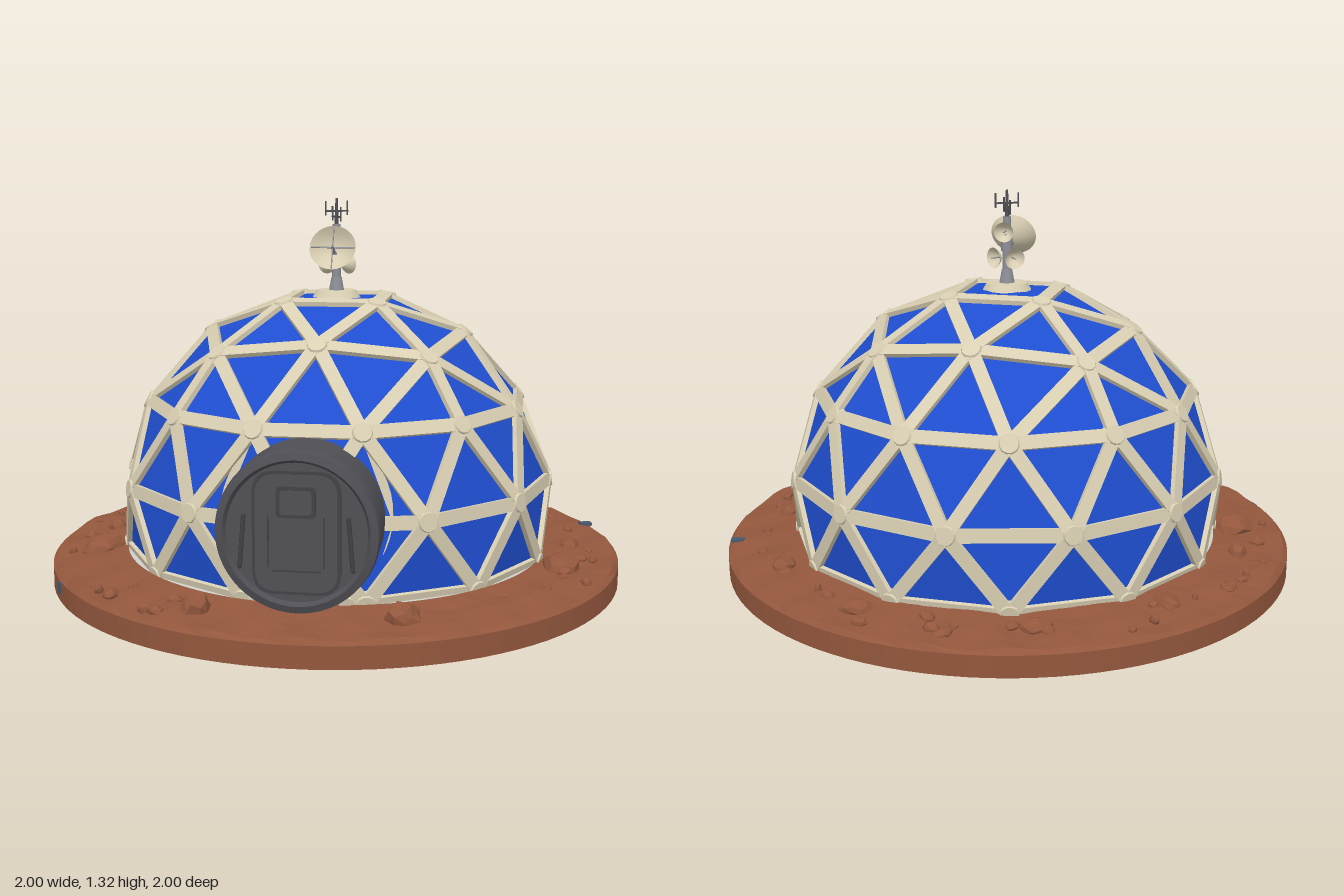
import * as THREE from 'three';

const mat = (name, color, opts = {}) => {
  const m = new THREE.MeshStandardMaterial({ color, ...opts });
  m.name = name;
  return m;
};

export function createModel() {
  const root = new THREE.Group();
  root.name = 'domeHabitat';
  const blue = mat('panel blue', 0x1f4ed0, { flatShading: true });
  const cream = mat('strut cream', 0xd9cfb3, { side: THREE.DoubleSide });
  const soil = mat('red soil', 0x93573d, { flatShading: true, side: THREE.DoubleSide });
  const dark = mat('airlock dark grey', 0x4f4f55);
  const darker = mat('door recess grey', 0x424247);
  const concrete = mat('floor grey', 0xcfcecb);
  const metal = mat('mast grey', 0x8f8f99);
  const slate = mat('slate marker', 0x4a5a70);

  const add = (parent, name, geo, material, x = 0, y = 0, z = 0, rx = 0, ry = 0, rz = 0) => {
    const m = new THREE.Mesh(geo, material);
    m.name = name;
    m.position.set(x, y, z);
    m.rotation.set(rx, ry, rz);
    parent.add(m);
    return m;
  };
  const group = (name, parent = root) => {
    const g = new THREE.Group();
    g.name = name;
    parent.add(g);
    return g;
  };
  let seed = 7;
  const rnd = () => (seed = (seed * 16807) % 2147483647) / 2147483647;

  // Ground: hollow soil apron with a slightly uneven top
  const ground = group('ground');
  const profile = [[1, 0], [1, 0.072], [0.985, 0.085], [0.93, 0.088], [0.87, 0.092], [0.81, 0.096], [0.74, 0.105]]
    .map(p => new THREE.Vector2(...p));
  const apron = new THREE.LatheGeometry(profile, 96);
  const ap = apron.attributes.position;
  for (let i = 0; i < ap.count; i++) {
    const x = ap.getX(i), z = ap.getZ(i), r = Math.hypot(x, z);
    if (r < 0.99 && r > 0.75) ap.setY(i, ap.getY(i) + 0.009 * Math.sin(x * 23 + 1) * Math.cos(z * 19));
  }
  apron.computeVertexNormals();
  add(ground, 'soilApron', apron, soil);
  add(ground, 'floorSlab', new THREE.CylinderGeometry(0.75, 0.75, 0.02, 64), concrete, 0, 0.088, -0.015);
  // Small slate markers on the rim: one through the wall, one on top
  add(ground, 'wallMarker', new THREE.BoxGeometry(0.035, 0.04, 0.012), slate, -0.847, 0.05, 0.53, 0, -1.01, 0);
  add(ground, 'topMarker', new THREE.BoxGeometry(0.045, 0.012, 0.025), slate, 0.9, 0.092, -0.36, 0, 0.3, 0);

  // Rocks: x, z, radius, height
  const rock = (x, z, r, h) => {
    const g = new THREE.IcosahedronGeometry(1, 1), p = g.attributes.position;
    for (let i = 0; i < p.count; i++) {
      const a = p.getX(i), b = p.getY(i), c = p.getZ(i);
      const k = 1 + 0.13 * Math.sin(a * 5 + x * 9) * Math.cos(c * 4 + b * 3 + z * 7);
      p.setXYZ(i, a * k, b * k, c * k);
    }
    const m = add(ground, 'rock', g, soil, x, 0.092, z, 0, rnd() * 6, 0);
    m.scale.set(r, h, r * 0.75);
  };
  for (const s of [-1, 1]) {
    rock(s * 0.29, -0.8, 0.055, 0.03);
    rock(s * 0.65, -0.53, 0.055, 0.03);
    rock(s * 0.83, -0.05, 0.045, 0.035);
    rock(s * 0.8, 0.2, 0.085, 0.05);
    rock(s * 0.32, 0.79, 0.055, 0.055);
  }
  for (let i = 0; i < 44; i++) {
    const a = rnd() * Math.PI * 2, r = 0.81 + rnd() * 0.14;
    if (Math.abs(Math.sin(a) * r) < 0.28 && Math.cos(a) > 0) continue;
    rock(Math.sin(a) * r, Math.cos(a) * r, 0.012 + rnd() * 0.022, 0.01 + rnd() * 0.012);
  }

  // Geodesic dome: rings as height, radius, count, first angle, and height and radius of every second node
  const dome = group('dome');
  const centre = new THREE.Vector3(0, 0.25, -0.025);
  const rings = [[0.967, 0.225, 4, 45], [0.86, 0.447, 8, 0, 0.815, 0.495], [0.62, 0.657, 12, 15],
    [0.35, 0.75, 12, 0], [0.1, 0.742, 12, 15]]
    .map(([y, r, n, a0, y2 = y, r2 = r]) => Array.from({ length: n }, (_, i) => {
      const a = THREE.MathUtils.degToRad(a0 + i * 360 / n), rad = i % 2 ? r2 : r;
      return new THREE.Vector3(rad * Math.sin(a), i % 2 ? y2 : y, rad * Math.cos(a) + centre.z);
    }));
  const tris = [], edges = new Map();
  const edge = (a, b) => {
    const key = [a, b].map(v => v.toArray().map(n => n.toFixed(3)).join()).sort().join('|');
    edges.set(key, [a, b]);
  };
  const face = (a, b, c) => {
    const n = b.clone().sub(a).cross(c.clone().sub(a));
    tris.push(...(n.dot(a.clone().sub(centre)) > 0 ? [a, b, c] : [a, c, b]));
  };
  const strip = (A, B) => A.forEach((p, i) => {
    const q = A[(i + 1) % A.length], mid = p.clone().add(q).multiplyScalar(0.5);
    const apex = B.reduce((best, v) => (v.distanceTo(mid) < best.distanceTo(mid) ? v : best));
    face(p, q, apex);
    edge(p, q); edge(p, apex); edge(q, apex);
  });
  for (let i = 0; i < rings.length - 1; i++) {
    strip(rings[i], rings[i + 1]);
    strip(rings[i + 1], rings[i]);
  }
  const apexPoint = new THREE.Vector3(0, 0.985, centre.z);
  rings[0].forEach((p, i) => face(p, rings[0][(i + 1) % 4], apexPoint));
  add(dome, 'panels', new THREE.BufferGeometry().setFromPoints(tris), blue).geometry.computeVertexNormals();

  // Struts lie flat along the edges, with a flush round plate filling each joint
  for (const [a, b] of edges.values()) {
    const along = b.clone().sub(a), len = along.length();
    along.normalize();
    const mid = a.clone().add(b).multiplyScalar(0.5);
    const side = along.clone().cross(mid.clone().sub(centre)).normalize();
    const out = side.clone().cross(along).normalize();
    const m = add(dome, 'strut', new THREE.BoxGeometry(0.044, len, 0.026), cream, mid.x, mid.y, mid.z);
    m.quaternion.setFromRotationMatrix(new THREE.Matrix4().makeBasis(side, along, out));
  }
  for (const p of rings.flat()) {
    const m = add(dome, 'jointPlate', new THREE.CylinderGeometry(0.03, 0.042, 0.026, 12), cream, p.x, p.y, p.z);
    m.quaternion.setFromUnitVectors(new THREE.Vector3(0, 1, 0), p.clone().sub(centre).normalize());
  }

  // Airlock: collar leaning back with the dome, tube, and recessed door
  const airlock = group('airlock');
  add(airlock, 'collar', new THREE.CylinderGeometry(0.272, 0.28, 0.14, 48), cream, 0, 0.36, 0.58, Math.PI / 2 - 0.15, 0, 0);
  const tube = [[0, 0.5], [0.245, 0.5], [0.252, 0.8], [0.248, 0.83], [0.225, 0.838], [0.215, 0.822], [0, 0.822]];
  const outline = [];
  tube.forEach(([r, z]) => outline.push(new THREE.Vector2(r, z), new THREE.Vector2(r, z)));
  add(airlock, 'tube', new THREE.LatheGeometry(outline, 56), dark, 0, 0.356, 0, Math.PI / 2, 0, 0);
  const roundRect = (w, h, r) => {
    const s = new THREE.Shape();
    s.moveTo(-w + r, -h);
    s.lineTo(w - r, -h); s.quadraticCurveTo(w, -h, w, -h + r);
    s.lineTo(w, h - r); s.quadraticCurveTo(w, h, w - r, h);
    s.lineTo(-w + r, h); s.quadraticCurveTo(-w, h, -w, h - r);
    s.lineTo(-w, -h + r); s.quadraticCurveTo(-w, -h, -w + r, -h);
    return s;
  };
  const plate = (w, h, r, depth) => new THREE.ExtrudeGeometry(roundRect(w, h, r), { depth, bevelEnabled: false });
  add(airlock, 'doorSeam', plate(0.135, 0.19, 0.07, 0.004), darker, 0, 0.355, 0.822);
  add(airlock, 'doorLeaf', plate(0.125, 0.18, 0.065, 0.009), dark, 0, 0.355, 0.822);
  add(airlock, 'windowFrame', plate(0.06, 0.048, 0.016, 0.008), darker, 0, 0.452, 0.828);
  add(airlock, 'windowPane', plate(0.048, 0.037, 0.012, 0.008), dark, 0, 0.452, 0.83);
  add(airlock, 'lowerSeam', new THREE.BoxGeometry(0.15, 0.006, 0.006), darker, 0, 0.24, 0.831);
  for (const s of [-1, 1]) {
    add(airlock, 'grabHandle', new THREE.CapsuleGeometry(0.007, 0.16, 4, 8), darker, s * 0.165, 0.33, 0.835, 0, 0, s * 0.08);
    add(airlock, 'doorRib', new THREE.BoxGeometry(0.006, 0.16, 0.006), darker, s * 0.085, 0.33, 0.831);
    add(airlock, 'footing', new THREE.BoxGeometry(0.05, 0.05, 0.05), cream, s * 0.14, 0.07, 0.7);
  }
  add(airlock, 'threshold', new THREE.BoxGeometry(0.22, 0.04, 0.13), dark, 0, 0.08, 0.71);

  // Antenna mast on the crown
  const antenna = group('antenna');
  antenna.position.set(0, 0, -0.015);
  const cyl = (name, rt, rb, h, m, x, y, z, rx = 0, rz = 0) =>
    add(antenna, name, new THREE.CylinderGeometry(rt, rb, h, 16), m, x, y, z, rx, 0, rz);
  cyl('mountPlate', 0.07, 0.085, 0.026, cream, 0, 0.988, 0);
  cyl('mountNeck', 0.018, 0.027, 0.05, metal, 0, 1.022, 0);
  cyl('mast', 0.014, 0.016, 0.2, metal, 0, 1.13, 0);
  cyl('topRod', 0.004, 0.008, 0.1, dark, 0, 1.27, 0);
  cyl('bracket', 0.02, 0.02, 0.06, metal, 0, 1.14, 0);
  for (let i = 0; i < 4; i++) {
    const a = i * Math.PI / 2 + 0.5, x = 0.04 * Math.sin(a), z = 0.04 * Math.cos(a);
    cyl('whip', 0.003, 0.003, 0.05, dark, x, 1.265 + (i % 2) * 0.02, z);
    add(antenna, 'whipArm', new THREE.BoxGeometry(0.006, 0.006, 0.045), dark, x / 2, 1.255 + (i % 2) * 0.02, z / 2, 0, a, 0);
  }

  // Dish shapes open along +z of their group
  const dish = (name, r, depth, x, y, z, rx, ry) => {
    const g = group(name, antenna);
    g.position.set(x, y, z);
    g.rotation.set(rx, ry, 0, 'YXZ');
    const pts = Array.from({ length: 7 }, (_, i) => new THREE.Vector2(r * i / 6, depth * (i / 6) ** 2));
    add(g, 'bowl', new THREE.LatheGeometry(pts, 28), cream, 0, 0, 0, Math.PI / 2, 0, 0);
    add(g, 'feed', new THREE.CylinderGeometry(r * 0.05, r * 0.08, depth * 1.3, 8), metal, 0, 0, depth * 0.65, Math.PI / 2, 0, 0);
    return g;
  };
  const main = dish('mainDish', 0.08, 0.045, 0, 1.135, 0.055, -0.45, 0);
  for (const a of [0, Math.PI / 2])
    add(main, 'feedBrace', new THREE.BoxGeometry(0.15, 0.004, 0.004), metal, 0, 0, 0.045, 0, 0, a);
  cyl('dishArm', 0.01, 0.01, 0.06, metal, 0, 1.13, 0.03, Math.PI / 2);
  dish('rearDish', 0.034, 0.03, 0, 1.18, -0.015, 0, Math.PI);
  for (const s of [-1, 1]) dish('sideDish', 0.036, 0.03, s * 0.02, 1.09, -0.015, 0, s * 2.5);

  return root;
}
